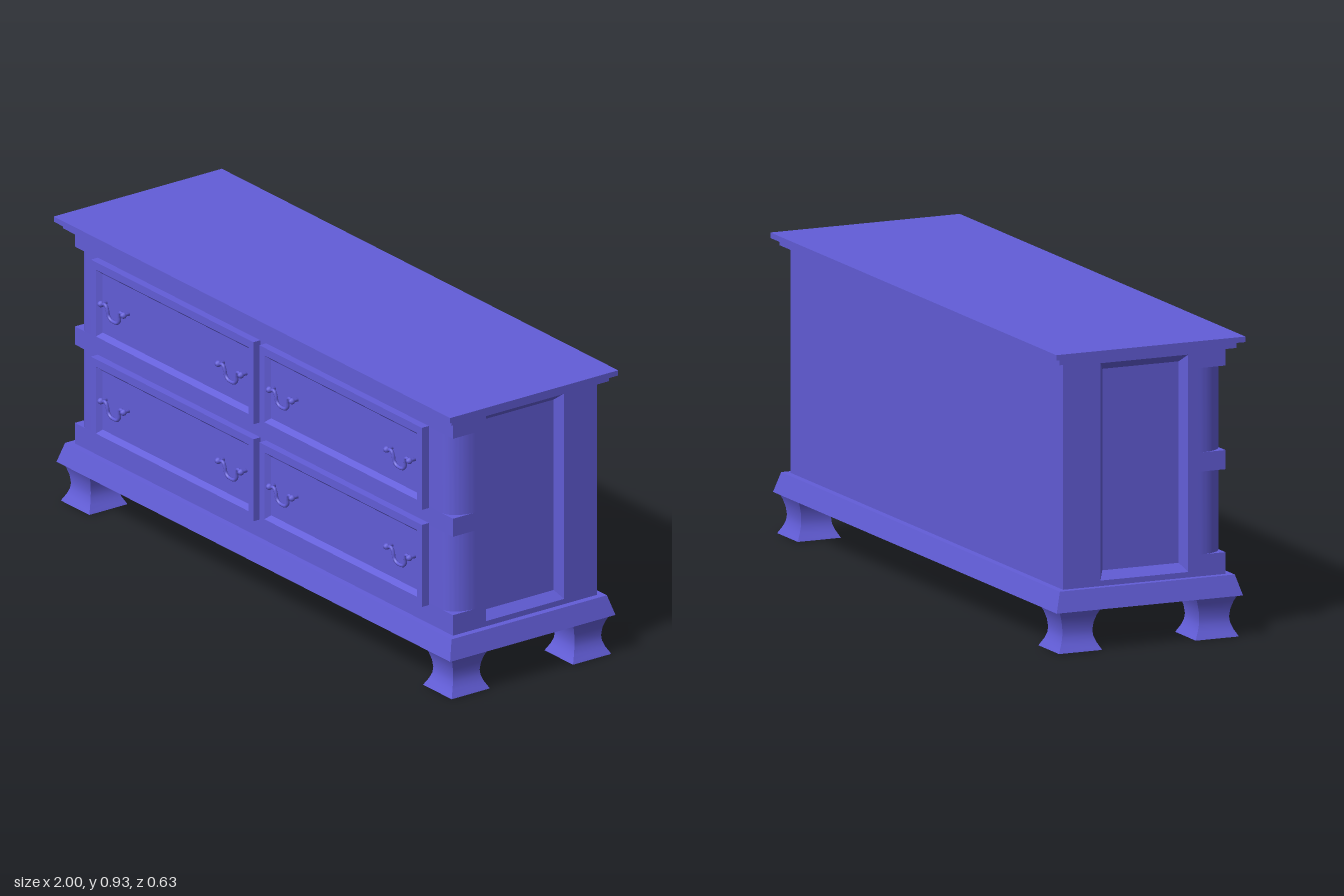
import * as THREE from 'three';
import { toCreasedNormals } from 'three/addons/utils/BufferGeometryUtils.js';

const material = new THREE.MeshStandardMaterial({ color: 0x625dd8 });

function add(parent, geometry, name, x = 0, y = 0, z = 0) {
  const mesh = new THREE.Mesh(geometry, material);
  mesh.name = name;
  mesh.position.set(x, y, z);
  parent.add(mesh);
  return mesh;
}

// Box between two heights, given half width and half depth
function slab(parent, name, hx, hz, y0, y1) {
  return add(parent, new THREE.BoxGeometry(hx * 2, y1 - y0, hz * 2), name, 0, (y0 + y1) / 2, 0);
}

// Closed solid from rectangles [x0, x1, y0, y1, z], joined in order and capped
function nestedRects(rects) {
  const loops = rects.map(([x0, x1, y0, y1, z]) => [[x0, y0, z], [x1, y0, z], [x1, y1, z], [x0, y1, z]]);
  const pos = [];
  const quad = (a, b, c, d) => pos.push(...a, ...b, ...c, ...a, ...c, ...d);
  for (let k = 0; k + 1 < loops.length; k++) {
    for (let i = 0; i < 4; i++) {
      const j = (i + 1) % 4;
      quad(loops[k][i], loops[k][j], loops[k + 1][j], loops[k + 1][i]);
    }
  }
  quad(...loops[0].slice().reverse());
  quad(...loops[loops.length - 1]);
  const geometry = new THREE.BufferGeometry();
  geometry.setAttribute('position', new THREE.Float32BufferAttribute(pos, 3));
  geometry.computeVertexNormals();
  return geometry;
}

// Front strip of the case, with square or rounded corners
function frontStrip(y0, y1, rounded) {
  const hx = 0.954, back = -0.18, front = -0.272, rx = 0.06, rz = 0.085;
  const s = new THREE.Shape();
  s.moveTo(-hx, back);
  if (rounded) {
    s.lineTo(-hx, front + rz);
    s.absellipse(-hx + rx, front + rz, rx, rz, Math.PI, Math.PI * 1.5, false);
    s.lineTo(hx - rx, front);
    s.absellipse(hx - rx, front + rz, rx, rz, Math.PI * 1.5, Math.PI * 2, false);
  } else {
    s.lineTo(-hx, front);
    s.lineTo(hx, front);
  }
  s.lineTo(hx, back);
  s.closePath();
  const g = new THREE.ExtrudeGeometry(s, { depth: y1 - y0, bevelEnabled: false, curveSegments: 10 });
  g.rotateX(-Math.PI / 2);
  return toCreasedNormals(g, 0.6);
}

// Drop handle: two knobs and a curved bail
function createHandle() {
  const handle = new THREE.Group();
  handle.name = 'handle';
  const half = [[0.054, 0], [0.036, 0.001], [0.03, -0.012], [0.027, -0.03], [0.015, -0.041]];
  const points = [...half.map(([x, y]) => [-x, y]), ...half.slice().reverse()]
    .map(([x, y]) => new THREE.Vector3(x, y, 0.018 + y * 0.1));
  add(handle, new THREE.TubeGeometry(new THREE.CatmullRomCurve3(points), 40, 0.0055, 8), 'bail');
  const profile = [[0, 0], [0.006, 0], [0.005, 0.012], [0.01, 0.018], [0.01, 0.024], [0.006, 0.03], [0, 0.031]]
    .map(([r, y]) => new THREE.Vector2(r, y));
  const knob = new THREE.LatheGeometry(profile, 12);
  knob.rotateX(Math.PI / 2);
  for (const s of [-1, 1]) add(handle, knob, 'knob', s * 0.057, 0, 0);
  return handle;
}

function createDrawer(x, y) {
  const drawer = new THREE.Group();
  drawer.name = 'drawer';
  const w = 0.41, h = 0.134;
  const rect = (inset, z) => [-w + inset, w - inset, -h + inset, h - inset, z];
  add(drawer, nestedRects([rect(0, 0), rect(0, 0.028), rect(0.025, 0.028), rect(0.038, 0.012)]), 'drawerFront');
  for (const s of [-1, 1]) {
    const handle = createHandle();
    handle.position.set(s * 0.296, 0.009, 0.012);
    drawer.add(handle);
  }
  drawer.position.set(x, y, 0.27);
  return drawer;
}

export function createModel() {
  const model = new THREE.Group();
  model.name = 'dresser';

  // Top and moulding
  slab(model, 'top', 1, 0.317, 0.91, 0.927);
  slab(model, 'topMoulding', 0.98, 0.297, 0.89, 0.91);

  // Plinth with sloped sides
  const plinth = nestedRects([[-0.993, 0.993, -0.312, 0.312, 0.127], [-0.975, 0.975, -0.293, 0.293, 0.19]]);
  plinth.rotateX(-Math.PI / 2);
  add(model, plinth, 'plinth');

  // Case: core, front strips with notched rounded corners, recessed sides
  const core = new THREE.BoxGeometry(1.85, 0.7, 0.452);
  add(model, core, 'caseCore', 0, 0.54, -0.046);
  const heights = [0.19, 0.257, 0.513, 0.572, 0.833, 0.89];
  for (let i = 0; i < 5; i++) {
    add(model, frontStrip(heights[i], heights[i + 1], i % 2 === 1), 'caseFront', 0, heights[i], 0);
  }
  for (const s of [-1, 1]) {
    const x0 = s > 0 ? -0.18 : -0.272, x1 = s > 0 ? 0.272 : 0.18;
    const panel = nestedRects([
      [x0, x1, 0.19, 0.89, 0.9], [x0, x1, 0.19, 0.89, 0.954],
      [-0.147, 0.147, 0.207, 0.878, 0.954], [-0.128, 0.128, 0.232, 0.854, 0.927],
    ]);
    panel.rotateY(s * Math.PI / 2);
    add(model, panel, 'sidePanel');
  }

  // Drawers
  for (const y of [0.384, 0.701]) {
    for (const s of [-1, 1]) model.add(createDrawer(s * 0.425 - 0.003, y));
  }

  // Square feet with a curved waist
  const profile = [[0.072, 0], [0.068, 0.008], [0.059, 0.024], [0.052, 0.043], [0.05, 0.06],
    [0.053, 0.085], [0.06, 0.108], [0.069, 0.127]]
    .map(([r, y]) => new THREE.Vector2(r * Math.SQRT2, y));
  const footGeometry = new THREE.LatheGeometry([new THREE.Vector2(0, 0), ...profile], 4);
  footGeometry.rotateY(Math.PI / 4);
  const foot = toCreasedNormals(footGeometry, 0.6);
  for (const x of [-0.914, 0.914]) {
    for (const z of [-0.229, 0.229]) add(model, foot, 'foot', x, 0, z);
  }
  return model;
}
